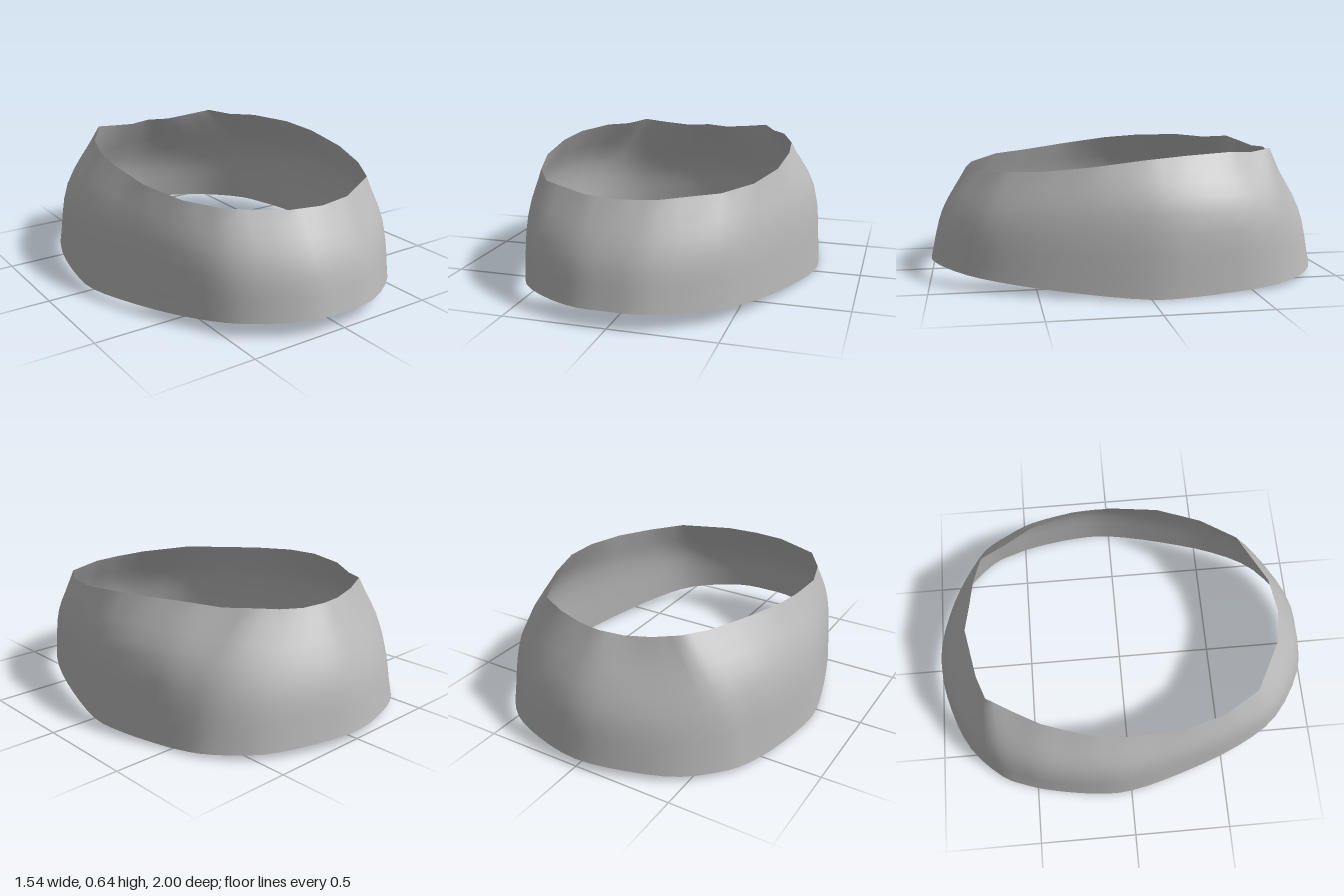
import * as THREE from 'three';

// Matching stations on the +x half, front to back: [x, y, z]
const lower = [
  [0, 0.08, 1], [0.2, 0.078, 0.975], [0.44, 0.068, 0.82], [0.58, 0.047, 0.6], [0.69, 0.02, 0.3],
  [0.765, 0, 0], [0.765, 0.003, -0.2], [0.73, 0.01, -0.42], [0.69, 0.013, -0.56],
  [0.63, 0.02, -0.69], [0.47, 0.025, -0.85], [0.25, 0.035, -0.95], [0, 0.04, -1],
];
const middle = [
  [0, 0.3, 0.945], [0.19, 0.3, 0.92], [0.44, 0.32, 0.77], [0.57, 0.34, 0.56], [0.665, 0.36, 0.28],
  [0.725, 0.38, 0], [0.725, 0.38, -0.2], [0.685, 0.38, -0.42], [0.63, 0.37, -0.56],
  [0.56, 0.34, -0.69], [0.42, 0.3, -0.81], [0.22, 0.3, -0.9], [0, 0.3, -0.945],
];
const upper = [
  [0, 0.53, 0.815], [0.17, 0.535, 0.79], [0.42, 0.55, 0.655], [0.53, 0.56, 0.475], [0.6, 0.585, 0.25],
  [0.615, 0.615, 0], [0.595, 0.63, -0.2], [0.52, 0.635, -0.42], [0.44, 0.625, -0.56],
  [0.37, 0.635, -0.68], [0.25, 0.615, -0.725], [0.12, 0.6, -0.752], [0, 0.605, -0.775],
];

// Mirror a half outline into a full loop of points
function fullLoop(half) {
  const mirrored = half.slice(1, -1).reverse().map(([x, y, z]) => [-x, y, z]);
  return [...half, ...mirrored].map((p) => new THREE.Vector3(...p));
}

function bandGeometry() {
  const loops = [lower, middle, upper].map(fullLoop);
  const count = loops[0].length, split = 3, around = count * split, rows = 8;
  const smooth = loops.map((l) => new THREE.CatmullRomCurve3(l, true, 'catmullrom', 0.5));
  const positions = [], indices = [];

  for (let i = 0; i < around; i++) {
    const k = Math.floor(i / split), f = (i % split) / split;
    const low = smooth[0].getPoint(i / around);
    const mid = smooth[1].getPoint(i / around);
    // The upper rim keeps its straight, faceted outline
    const top = loops[2][k].clone().lerp(loops[2][(k + 1) % count], f);
    const rib = new THREE.CatmullRomCurve3([low, mid, top]);
    for (let j = 0; j <= rows; j++) positions.push(...rib.getPoint(j / rows).toArray());
  }
  for (let i = 0; i < around; i++) {
    for (let j = 0; j < rows; j++) {
      const a = i * (rows + 1) + j, b = ((i + 1) % around) * (rows + 1) + j;
      indices.push(a, b, b + 1, a, b + 1, a + 1);
    }
  }
  const geometry = new THREE.BufferGeometry();
  geometry.setAttribute('position', new THREE.Float32BufferAttribute(positions, 3));
  geometry.setIndex(indices);
  geometry.computeVertexNormals();
  return geometry;
}

export function createModel() {
  const group = new THREE.Group();
  group.name = 'collar';
  const grey = new THREE.MeshStandardMaterial({ color: 0xb8b8b8, side: THREE.DoubleSide });
  grey.name = 'grey';
  // Open tapered band
  const band = new THREE.Mesh(bandGeometry(), grey);
  band.name = 'band';
  group.add(band);
  return group;
}
